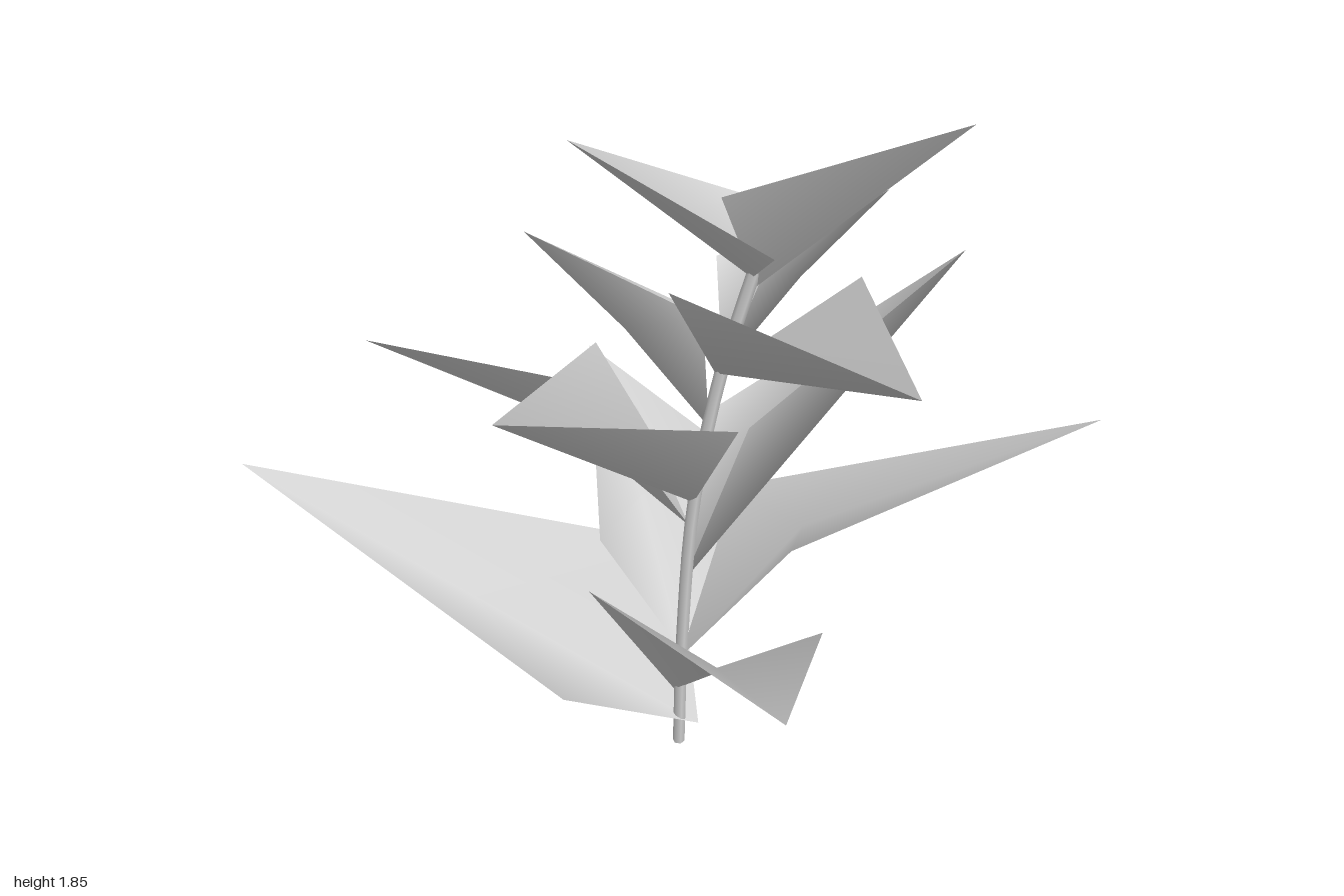
import * as THREE from 'three';

const V = (p) => new THREE.Vector3(...p);

// Each leaf: base on the stem, two side corners, tip, and how far the midrib vertex sinks to the base-tip line
const LEAVES = [
  { base: [0.12, 0.045, 0.01], a: [-0.142, 0.37, 0.32], b: [0.02, 0.45, -0.195], tip: [-1, 0.71, 0.04] },
  { base: [0.06, 0.16, 0.02], a: [0.43, 0.555, 0.17], b: [-0.09, 0.66, 0.26], tip: [0.415, 0.76, 0.678], k: 0.6 },
  { base: [0.08, 0.28, 0.02], a: [0.12, 0.555, -0.31], b: [0.337, 0.70, 0.075], tip: [1, 0.845, -0.383], k: 0.35 },
  { base: [0.08, 0.3, 0.03], a: [-0.115, 0.634, 0.05], b: [0.16, 0.63, -0.33], tip: [-0.295, 0.74, -0.592], k: 0.8 },
  { base: [0.08, 0.52, 0.02], a: [0.085, 0.775, -0.34], b: [0.215, 0.955, -0.025], tip: [0.635, 1.088, -0.685] },
  { base: [0.09, 0.69, 0.02], a: [-0.158, 1.055, 0.02], b: [-0.08, 0.845, -0.2], tip: [-0.75, 0.945, -0.2], k: 0.6 },
  { base: [0.1, 0.76, 0.02], a: [0.225, 1.1, 0.19], b: [-0.14, 1.12, -0.05], tip: [-0.2, 1.3, 0.538] },
  { base: [0.13, 0.97, 0.01], a: [0.11, 1.25, 0.0], b: [0.0, 1.125, -0.25], tip: [-0.292, 1.39, -0.04], k: 0.9 },
  { base: [0.155, 1.12, 0.0], a: [0.1, 1.28, -0.21], b: [0.238, 1.375, -0.025], tip: [0.455, 1.38, -0.41], k: 0.9 },
  { base: [0.14, 1.11, 0.0], a: [0.425, 1.27, -0.205], b: [0.055, 1.365, 0.1], tip: [0.605, 1.42, 0.457] },
  { base: [0.21, 1.35, -0.02], a: [0.28, 1.505, 0.157], b: [0.2, 1.455, -0.172], tip: [-0.18, 1.64, 0.0] },
  { base: [0.22, 1.33, -0.02], a: [0.39, 1.485, -0.13], b: [0.145, 1.55, 0.01], tip: [0.64, 1.845, 0.172] },
];

// Folded kite blade around a midrib vertex
function leafGeometry({ base, a, b, tip, k = 1 }) {
  const lineMid = V(base).lerp(V(tip), 0.5);
  const mid = V(a).lerp(V(b), 0.5).lerp(lineMid, k);
  const geometry = new THREE.BufferGeometry();
  geometry.setFromPoints([V(base), V(a), V(tip), V(b), mid]);
  geometry.setIndex([0, 1, 4, 1, 2, 4, 2, 3, 4, 3, 0, 4]);
  geometry.computeVertexNormals();
  return geometry;
}

export function createModel() {
  const plant = new THREE.Group();
  plant.name = 'plant';
  const grey = new THREE.MeshStandardMaterial({ color: 0xcccccc, side: THREE.DoubleSide });
  grey.name = 'leaf grey';

  // Gently leaning stem
  const path = new THREE.CatmullRomCurve3([
    [0.075, 0, 0.035], [0.08, 0.36, 0.03], [0.1, 0.75, 0.02], [0.15, 1.1, 0], [0.215, 1.37, -0.02],
  ].map(V));
  const stem = new THREE.Mesh(new THREE.TubeGeometry(path, 16, 0.015, 6), grey);
  stem.name = 'stem';
  plant.add(stem);

  // Leaves from the lowest to the highest
  LEAVES.forEach((leaf, i) => {
    const mesh = new THREE.Mesh(leafGeometry(leaf), grey);
    mesh.name = `leaf${i + 1}`;
    plant.add(mesh);
  });
  return plant;
}
